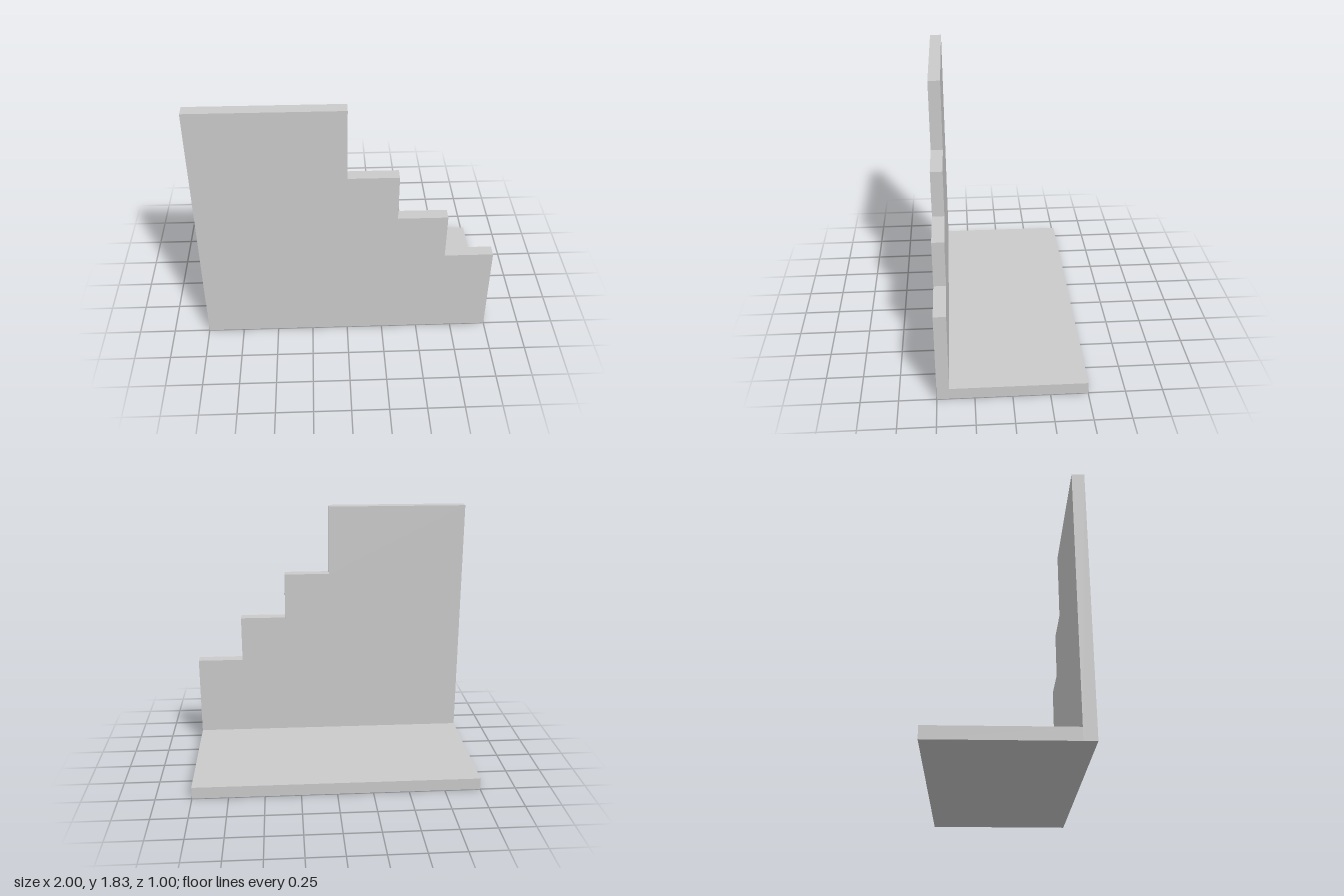
import * as THREE from 'three';

const T = 1 / 12; // thickness of wall and base
const DEPTH = 1;

export function createModel() {
  const group = new THREE.Group();
  const material = new THREE.MeshStandardMaterial({ color: 0xcccccc, flatShading: true });

  // Upright wall whose top steps down towards +x: [right end, height] of each tread
  const steps = [[0, 11 / 6], [1 / 3, 4 / 3], [2 / 3, 1], [1, 2 / 3]];
  const outline = new THREE.Shape();
  outline.moveTo(1, 0);
  for (const [x, y] of [...steps].reverse()) {
    outline.lineTo(x, y);
    const i = steps.findIndex((s) => s[0] === x);
    outline.lineTo(i > 0 ? steps[i - 1][0] : -1, y);
  }
  outline.lineTo(-1, 0);
  outline.closePath();
  const wall = new THREE.Mesh(
    new THREE.ExtrudeGeometry(outline, { depth: T, bevelEnabled: false }), material);
  wall.name = 'steppedWall';
  wall.position.z = DEPTH / 2 - T;
  group.add(wall);

  // Flat base plate behind the wall
  const base = new THREE.Mesh(new THREE.BoxGeometry(2, T, DEPTH - T), material);
  base.name = 'basePlate';
  base.position.set(0, T / 2, -T / 2);
  group.add(base);

  return group;
}
